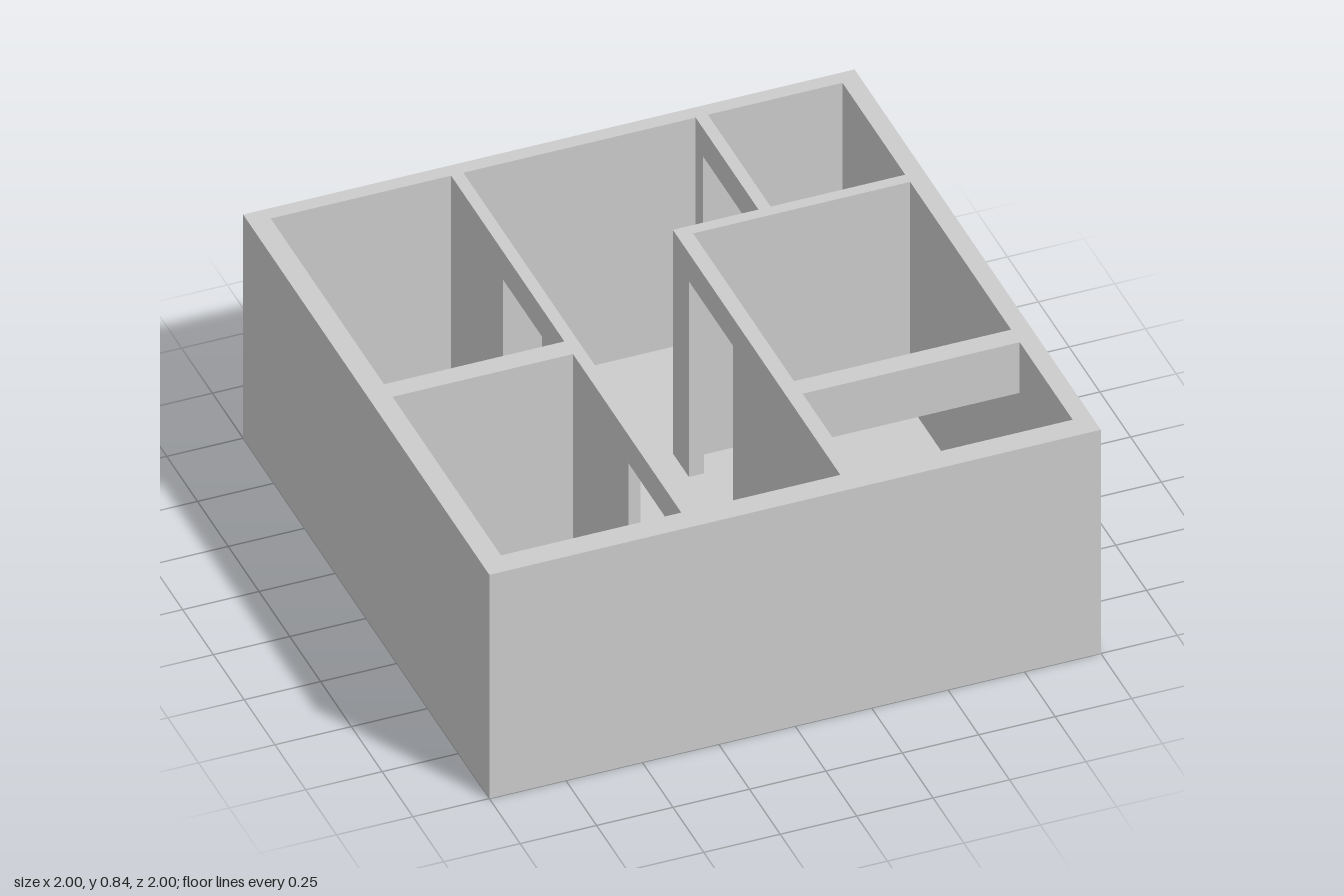
import * as THREE from 'three';
import { mergeGeometries } from 'three/addons/utils/BufferGeometryUtils.js';

const H = 0.84;      // wall height
const DOOR = 0.735;  // door head height

const rect = (x0, x1, z0, z1) => [[x0, z0], [x1, z0], [x1, z1], [x0, z1]];

// Room outlines in plan as [x, z], ordered so the walls face inward
const rooms = {
  backRightRoom: rect(-0.93, -0.34, -0.95, -0.03),
  frontRightRoom: rect(-0.93, -0.34, 0.04, 0.92),
  hall: [[-0.3, -0.95], [0.46, -0.95], [0.46, -0.44], [0.18, -0.44], [0.18, 0.92], [-0.3, 0.92]],
  backLeftRoom: rect(0.5, 0.94, -0.95, -0.44),
  middleLeftRoom: rect(0.23, 0.94, -0.4, 0.42),
  frontLeftRoom: rect(0.23, 0.94, 0.49, 0.92),
};

// Openings through the inner walls; alongX marks walls that run along x
const openings = [
  { x: [-0.34, -0.3], z: [-0.53, -0.21], top: DOOR },
  { x: [-0.34, -0.3], z: [0.49, 0.81], top: DOOR },
  { x: [0.46, 0.5], z: [-0.89, -0.51], top: DOOR },
  { x: [0.18, 0.23], z: [-0.31, 0.05], top: DOOR },
  { x: [0.23, 0.94], z: [0.42, 0.49], top: 0.65, alongX: true, floorEnd: 0.46 },
];

// Upright panel from a to b; its front is to the +z side when a to b runs along +x
function upright(a, b, y0, y1) {
  const dx = b[0] - a[0], dz = b[1] - a[1];
  return new THREE.PlaneGeometry(Math.hypot(dx, dz), y1 - y0)
    .rotateY(Math.atan2(-dz, dx))
    .translate((a[0] + b[0]) / 2, (y0 + y1) / 2, (a[1] + b[1]) / 2);
}

// Level panel from a plan outline, with optional holes
function level(outline, y, holes = [], down = false) {
  const points = o => o.map(([x, z]) => new THREE.Vector2(x, -z));
  const shape = new THREE.Shape(points(outline));
  shape.holes = holes.map(h => new THREE.Path(points(h)));
  const g = new THREE.ShapeGeometry(shape);
  if (down) g.scale(1, -1, 1).rotateX(Math.PI / 2);
  else g.rotateX(-Math.PI / 2);
  return g.translate(0, y, 0);
}

// One wall face, split where openings cut through it
function wallFace(a, b) {
  const run = Math.abs(b[0] - a[0]) > Math.abs(b[1] - a[1]) ? 0 : 1;
  const fixed = a[1 - run];
  const lo = Math.min(a[run], b[run]), hi = Math.max(a[run], b[run]);
  const cuts = openings
    .filter(o => !!o.alongX === (run === 0))
    .map(o => ({ span: run ? o.z : o.x, faces: run ? o.x : o.z, top: o.top }))
    .filter(c => c.faces.includes(fixed) && c.span[0] >= lo && c.span[1] <= hi)
    .sort((p, q) => p.span[0] - q.span[0]);
  const out = [];
  const add = (s, e, y0) => {
    if (e - s < 1e-4) return;
    const p = run ? [fixed, s] : [s, fixed], q = run ? [fixed, e] : [e, fixed];
    out.push(b[run] > a[run] ? upright(p, q, y0, H) : upright(q, p, y0, H));
  };
  let at = lo;
  for (const c of cuts) {
    add(at, c.span[0], 0);
    add(c.span[0], c.span[1], c.top);
    at = c.span[1];
  }
  add(at, hi, 0);
  return out;
}

const wallLoop = o => o.flatMap((p, i) => wallFace(p, o[(i + 1) % o.length]));

export function createModel() {
  const model = new THREE.Group();
  const material = new THREE.MeshStandardMaterial({ color: 0xcccccc, side: THREE.DoubleSide });
  const add = (name, parts) => {
    const mesh = new THREE.Mesh(parts.length > 1 ? mergeGeometries(parts) : parts[0], material);
    mesh.name = name;
    model.add(mesh);
  };

  // Outer shell and the wall tops
  const outer = rect(-1, 1, -1, 1);
  add('outerWalls', wallLoop([...outer].reverse()));
  add('wallTops', [level(outer, H, Object.values(rooms))]);

  // Inner wall faces and floor of each room
  for (const [name, outline] of Object.entries(rooms)) {
    add(name + 'Walls', wallLoop(outline));
    add(name + 'Floor', [level(outline, 0)]);
  }

  // Jambs, head and threshold of each opening
  for (const { x: [x0, x1], z: [z0, z1], top, alongX, floorEnd = x1 } of openings) {
    const jambs = alongX
      ? [upright([x0, z1], [x0, z0], 0, top), upright([x1, z0], [x1, z1], 0, top)]
      : [upright([x0, z0], [x1, z0], 0, top), upright([x1, z1], [x0, z1], 0, top)];
    add('openingFrame', [...jambs, level(rect(x0, x1, z0, z1), top, [], true)]);
    add('threshold', [level(rect(x0, floorEnd, z0, z1), 0)]);
  }

  // Low wall carrying the counter between the two left rooms
  add('counterWall', [
    upright([0.94, 0.42], [0.46, 0.42], 0, 0.23),
    upright([0.46, 0.42], [0.46, 0.49], 0, 0.23),
    upright([0.46, 0.49], [0.94, 0.49], 0, 0.23),
  ]);
  add('counterTop', [new THREE.BoxGeometry(0.52, 0.03, 0.15).translate(0.68, 0.245, 0.455)]);

  return model;
}
